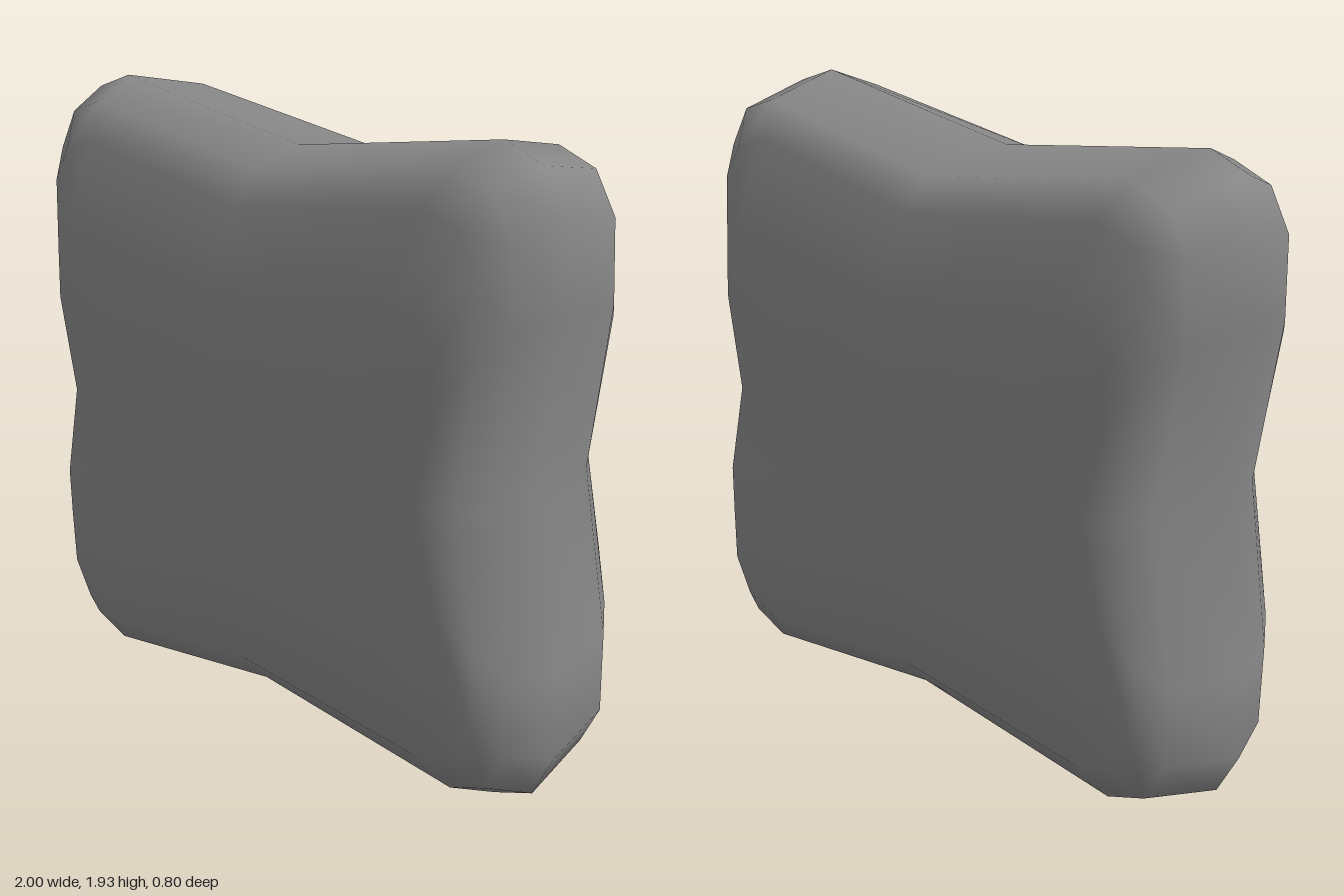
import * as THREE from 'three';

// Quarter outline of the cushion at its widest layer, from the right middle to the top middle
const QUARTER = [[0.91, 0], [0.993, 0.515], [0.988, 0.77], [0.915, 0.9], [0.775, 0.95], [0, 0.835]];

// Layers from back to front: depth, width scale, height scale
const LAYERS = [
  [-0.345, 0.4, 0.28],
  [-0.345, 0.81, 0.56],
  [-0.28, 0.89, 0.83],
  [-0.205, 0.95, 0.94],
  [0.06, 1, 1],
  [0.205, 0.95, 0.94],
  [0.28, 0.89, 0.83],
  [0.345, 0.81, 0.56],
  [0.345, 0.4, 0.28],
];

// Mirror the quarter into a closed counter-clockwise outline
function fullOutline() {
  const half = [...QUARTER, ...QUARTER.slice(0, -1).reverse().map(([x, y]) => [-x, y])];
  return [...half, ...half.slice(1, -1).reverse().map(([x, y]) => [x, -y])];
}

function cushionGeometry() {
  const outline = fullOutline();
  const n = outline.length;
  const positions = [];
  const index = [];

  // The stuffing is thickest along the vertical middle
  const puff = (x, z) => z * (1 + 0.16 * Math.max(0, 1 - Math.abs(x) / 0.8));

  for (const [z, sx, sy] of LAYERS) {
    for (const [x, y] of outline) positions.push(x * sx, y * sy, puff(x * sx, z));
  }
  const back = positions.length / 3;
  positions.push(0, 0, -0.4, 0, 0, 0.4);
  const front = back + 1;
  const last = (LAYERS.length - 1) * n;

  for (let i = 0; i < n; i++) {
    const j = (i + 1) % n;
    for (let l = 0; l < LAYERS.length - 1; l++) {
      const a = l * n + i, b = l * n + j;
      index.push(a, b, b + n, a, b + n, a + n);
    }
    index.push(j, i, back, last + i, last + j, front);
  }

  const geometry = new THREE.BufferGeometry();
  geometry.setAttribute('position', new THREE.Float32BufferAttribute(positions, 3));
  geometry.setIndex(index);
  geometry.computeVertexNormals();
  return geometry;
}

export function createModel() {
  const group = new THREE.Group();
  group.name = 'pillow';
  const cushion = new THREE.Mesh(cushionGeometry(), new THREE.MeshStandardMaterial({ color: 0x878787 }));
  cushion.name = 'cushion';
  // Set down slightly askew
  cushion.rotation.set(0, -0.06, 0.02);
  cushion.position.set(0.003, 0.965, 0);
  group.add(cushion);
  return group;
}
